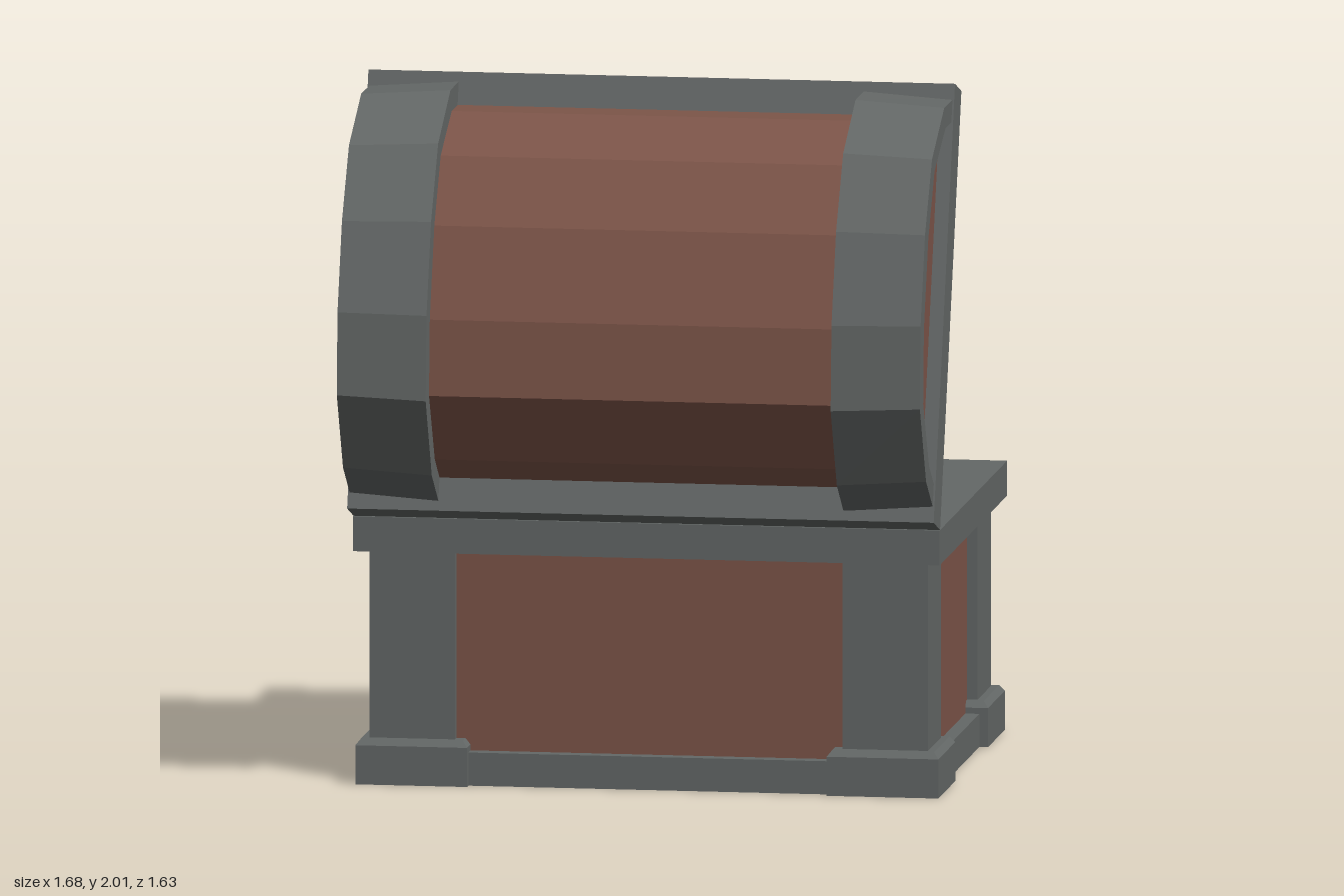
import * as THREE from 'three';

const mat = (color) => new THREE.MeshStandardMaterial({ color, flatShading: true });
const V = (x, y) => new THREE.Vector2(x, y);
const rect = (w, d) => [V(-w, -d), V(w, -d), V(w, d), V(-w, d)];

export function createModel() {
  const wood = mat(0x7d5549), iron = mat(0x646867), steel = mat(0x8f9492), keySteel = mat(0xa2a6a4);
  const model = new THREE.Group();
  model.name = 'treasureChest';

  const add = (parent, name, geometry, material, x = 0, y = 0, z = 0) => {
    const mesh = new THREE.Mesh(geometry, material);
    mesh.name = name;
    mesh.position.set(x, y, z);
    parent.add(mesh);
    return mesh;
  };
  const extrude = (points, depth, hole) => {
    const shape = new THREE.Shape(points);
    if (hole) shape.holes.push(new THREE.Path(hole));
    return new THREE.ExtrudeGeometry(shape, { depth, bevelEnabled: false, curveSegments: 8 });
  };
  // Plan outline raised from y0 to y1
  const slab = (points, y0, y1, hole) =>
    extrude(points, y1 - y0, hole).rotateX(-Math.PI / 2).translate(0, y0, 0);

  // ---- Lower box ----
  const box = new THREE.Group();
  box.name = 'box';
  box.position.z = -0.155;
  model.add(box);

  add(box, 'woodWalls', slab(rect(0.77, 0.555), 0.05, 0.7, rect(0.64, 0.425)), wood);
  add(box, 'floor', new THREE.BoxGeometry(1.48, 0.07, 1.05), wood, 0, 0.045, 0);
  add(box, 'baseFrame', slab(rect(0.81, 0.595), 0, 0.095, rect(0.71, 0.495)), iron);
  add(box, 'topRim', slab(rect(0.84, 0.63), 0.67, 0.77, rect(0.64, 0.425)), iron);

  // Foot block with a chamfered top
  const footGeometry = () => {
    const g = new THREE.BoxGeometry(0.32, 0.13, 0.315, 1, 2, 1);
    const p = g.attributes.position;
    for (let i = 0; i < p.count; i++) {
      if (Math.abs(p.getY(i)) < 0.01) p.setY(i, 0.047);
      else if (p.getY(i) > 0.06) {
        p.setX(i, p.getX(i) * 0.91);
        p.setZ(i, p.getZ(i) * 0.91);
      }
    }
    g.computeVertexNormals();
    return g;
  };

  for (const sx of [-1, 1]) for (const sz of [-1, 1]) {
    // Angle-section corner post
    const corner = [[0.8, 0.585], [0.555, 0.585], [0.555, 0.45], [0.65, 0.45], [0.65, 0.34], [0.8, 0.34]]
      .map(([x, z]) => V(sx * x, sz * z));
    add(box, 'cornerPost', slab(corner, 0.1, 0.69), iron);
    add(box, 'foot', footGeometry(), iron, sx * 0.675, 0.065, sz * 0.4625);
  }

  // ---- Lock ----
  const lock = new THREE.Group();
  lock.name = 'lock';
  model.add(lock);
  const half = [[0.17, 0.797], [0.17, 0.63], [0.135, 0.51], [0.065, 0.43]];
  const shield = [...half, ...half.map(([x, y]) => [-x, y]).reverse()].map(([x, y]) => V(x, y));
  add(lock, 'lockPlate', extrude(shield, 0.07), steel, 0, 0, -0.806);
  add(lock, 'lockHasp', new THREE.BoxGeometry(0.34, 0.06, 0.235), steel, 0, 0.767, -0.6835);
  // Keyhole: round head over a flared slot
  const keyhole = [V(0.065, 0.515), V(0.03, 0.61)];
  for (let i = 0; i <= 10; i++) {
    const a = -0.95 + (i / 10) * (Math.PI + 1.9);
    keyhole.push(V(0.065 * Math.cos(a), 0.655 + 0.065 * Math.sin(a)));
  }
  keyhole.push(V(-0.03, 0.61), V(-0.065, 0.515));
  add(lock, 'keyhole', extrude(keyhole, 0.02), keySteel, 0, 0, -0.819);

  // ---- Lid, swung open about its hinge edge ----
  const lid = new THREE.Group();
  lid.name = 'lid';
  lid.position.set(0, 0.77, 0.465);
  lid.rotation.x = 1.25;
  model.add(lid);

  const arch = (pts) => [...pts, ...pts.map(([u, v]) => [-u, v]).reverse()].map(([u, v]) => V(u, v));
  const outer = arch([[0.607, 0.11], [0.553, 0.272], [0.37, 0.453], [0.135, 0.515]]);
  const inner = arch([[0.54, 0.11], [0.5, 0.23], [0.345, 0.395], [0.135, 0.45]]);
  const across = (points, x0, x1) =>
    extrude(points, x1 - x0).rotateY(Math.PI / 2).translate(x0, 0, 0);

  add(lid, 'lidRim', new THREE.BoxGeometry(1.68, 0.126, 1.26), iron, 0, 0.063, -0.63);
  add(lid, 'lidLining', new THREE.BoxGeometry(1.42, 0.11, 1.04), wood, 0, -0.042, -0.63);
  add(lid, 'lidBarrel', across(inner, -0.8, 0.8), wood, 0, 0, -0.63);

  // Arched end bands, slightly narrower at their outer edges
  const bandOutline = [...outer, ...inner.slice().reverse()];
  for (const s of [-1, 1]) {
    const g = across(bandOutline, s > 0 ? 0.58 : -0.835, s > 0 ? 0.835 : -0.58);
    const p = g.attributes.position;
    for (let i = 0; i < p.count; i++) if (Math.abs(p.getX(i)) > 0.7) p.setZ(i, p.getZ(i) * 0.97);
    g.computeVertexNormals();
    add(lid, 'lidBand', g, iron, 0, 0, -0.63);
  }
  return model;
}
